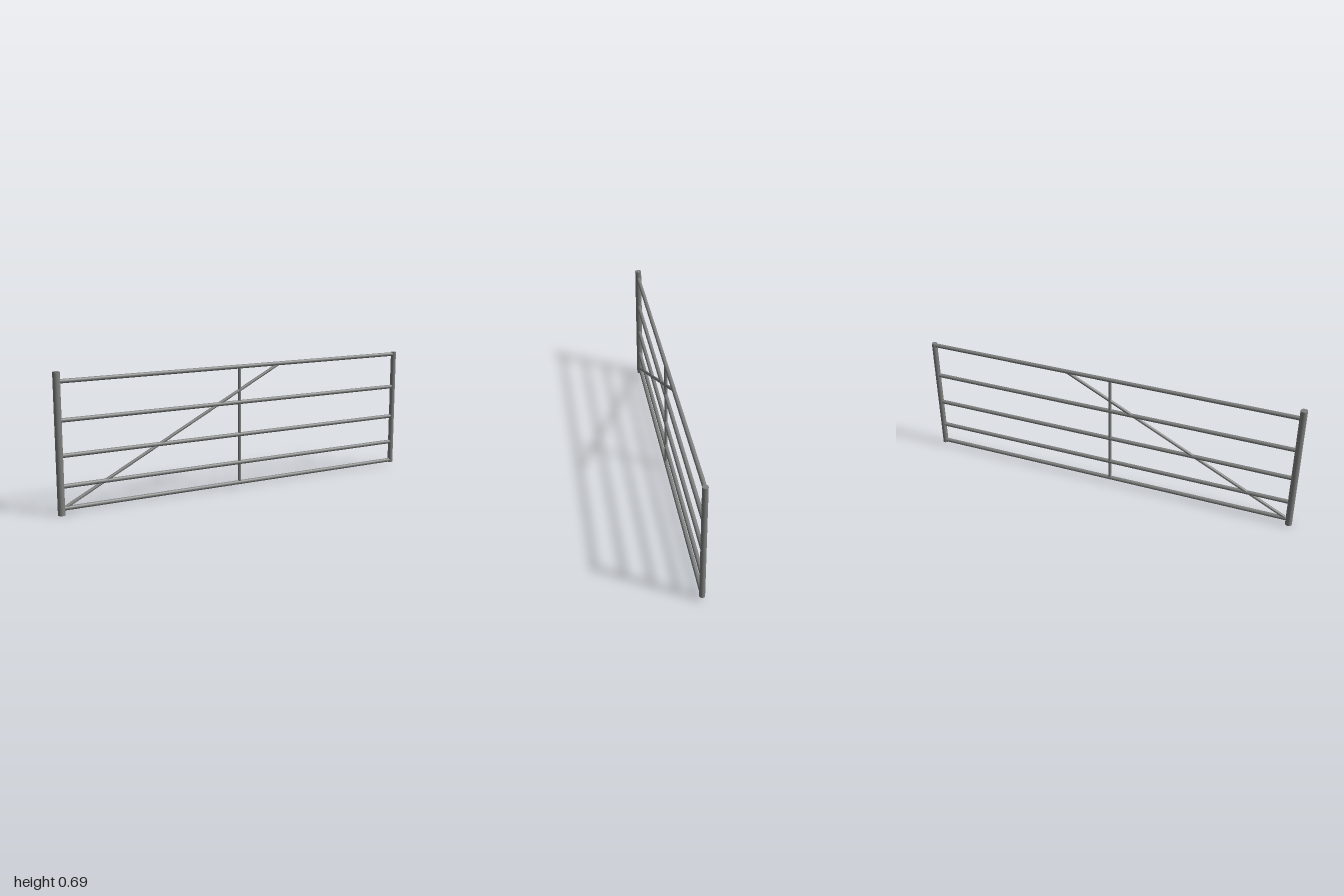
import * as THREE from 'three';

export function createModel() {
  const gate = new THREE.Group();
  gate.name = 'fieldGate';
  const steel = new THREE.MeshStandardMaterial({ color: 0x7f8280 });
  steel.name = 'galvanised steel';

  // Round tube between two points in the gate's plane
  function tube(name, x1, y1, x2, y2, radius) {
    const from = new THREE.Vector3(x1, y1, 0);
    const to = new THREE.Vector3(x2, y2, 0);
    const dir = to.clone().sub(from);
    const mesh = new THREE.Mesh(new THREE.CylinderGeometry(radius, radius, dir.length(), 20), steel);
    mesh.name = name;
    mesh.position.copy(from).add(to).multiplyScalar(0.5);
    mesh.quaternion.setFromUnitVectors(new THREE.Vector3(0, 1, 0), dir.normalize());
    gate.add(mesh);
  }

  // End posts: the hinge post is taller and thicker
  tube('hingePost', -0.9825, 0, -0.9825, 0.69, 0.0175);
  tube('latchPost', 0.986, 0.02, 0.986, 0.655, 0.014);

  // Rails, closer together towards the bottom
  [0.032, 0.14, 0.289, 0.459, 0.644].forEach((y, i) =>
    tube(`rail${i + 1}`, -0.98, y, 0.985, y, 0.0105));

  // Middle upright and diagonal brace
  tube('middleUpright', -0.01, 0.032, -0.01, 0.644, 0.008);
  tube('diagonalBrace', -0.975, 0.03, 0.225, 0.642, 0.008);

  return gate;
}
